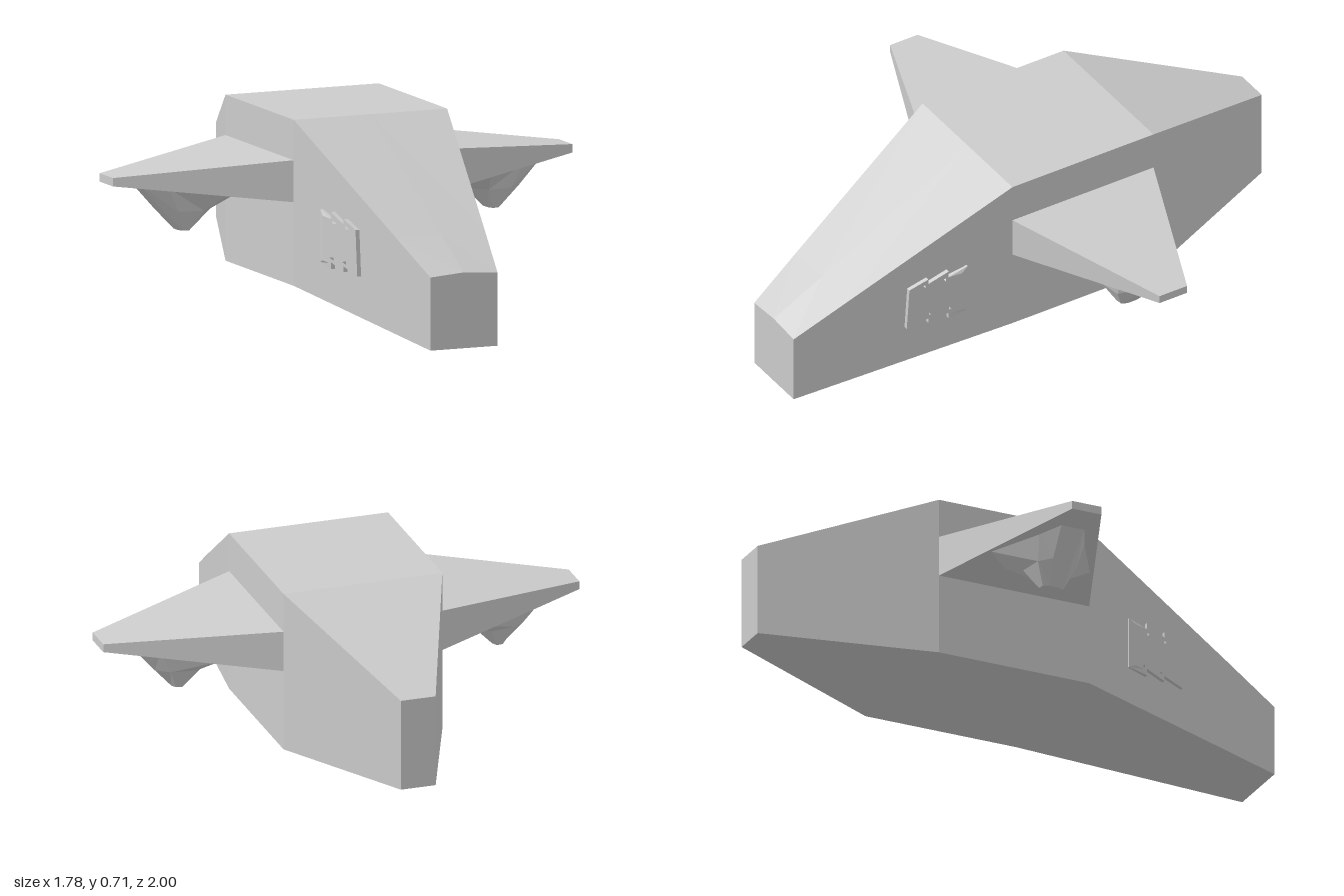
import * as THREE from 'three';

const grey = new THREE.MeshStandardMaterial({ color: 0xcccccc, flatShading: true });
const V = (x, y, z) => new THREE.Vector3(x, y, z);

// Turns triangle corners into a closed flat-shaded mesh with faces outward.
function solid(name, pts) {
  let volume = 0;
  const cross = new THREE.Vector3();
  for (let i = 0; i < pts.length; i += 3)
    volume += pts[i].dot(cross.crossVectors(pts[i + 1], pts[i + 2]));
  if (volume < 0)
    for (let i = 0; i < pts.length; i += 3) [pts[i + 1], pts[i + 2]] = [pts[i + 2], pts[i + 1]];
  const geo = new THREE.BufferGeometry().setFromPoints(pts);
  geo.computeVertexNormals();
  const mesh = new THREE.Mesh(geo, grey);
  mesh.name = name;
  return mesh;
}

// Joins equal-length rings of points and caps both ends.
function loft(name, rings) {
  const pts = [], n = rings[0].length;
  for (let r = 0; r + 1 < rings.length; r++)
    for (let i = 0; i < n; i++) {
      const j = (i + 1) % n, a = rings[r], b = rings[r + 1];
      pts.push(a[i], a[j], b[j], a[i], b[j], b[i]);
    }
  const first = rings[0], last = rings[rings.length - 1];
  for (let i = 1; i + 1 < n; i++)
    pts.push(first[0], first[i + 1], first[i], last[0], last[i], last[i + 1]);
  return solid(name, pts.map(p => p.clone()));
}

// Cross-section of the hull; crown lifts the centre of the roof.
const hullRing = (z, w, bottom, top, crown) => [
  V(-w, bottom, z), V(w, bottom, z), V(w, top, z), V(0, top + crown, z), V(-w, top, z)];

const wingRing = (x, bottom, top, front, back) => [
  V(x, bottom, front), V(x, top, front), V(x, top, back), V(x, bottom, back)];

const wingBottom = x => 0.42 + (x - 0.3) * 0.1;

// Eight-sided pod section, wider on the side nearer the hull.
function podRing(s, xIn, xOut, zIn, zOut, yOf) {
  const w = xOut - xIn, c = -0.105;
  return [[xIn, -zIn / 2], [xIn + w / 4, -zIn], [xOut - w / 4, -zOut], [xOut, -zOut / 2],
    [xOut, zOut / 2], [xOut - w / 4, zOut], [xIn + w / 4, zIn], [xIn, zIn / 2]]
    .map(([x, z]) => V(s * x, yOf(x), c + z));
}

// Stepped hatch rim, drawn in z and y, then laid onto the tapering hull side.
function hatch(s) {
  const outline = [[0.59, 0.21], [0.51, 0.235], [0.51, 0.215], [0.435, 0.24], [0.435, 0.215],
    [0.36, 0.23], [0.36, 0.42], [0.435, 0.395], [0.435, 0.42], [0.51, 0.385],
    [0.51, 0.405], [0.58, 0.375]].map(p => new THREE.Vector2(...p));
  const opening = [[0.572, 0.228], [0.5, 0.25], [0.5, 0.232], [0.425, 0.255], [0.425, 0.235],
    [0.385, 0.24], [0.385, 0.4], [0.445, 0.378], [0.445, 0.4], [0.52, 0.368],
    [0.52, 0.388], [0.568, 0.363]].map(p => new THREE.Vector2(...p));
  const shape = new THREE.Shape(outline);
  shape.holes.push(new THREE.Path(opening));
  const geo = new THREE.ExtrudeGeometry(shape, { depth: 1, bevelEnabled: false });
  const pos = geo.attributes.position, pts = [];
  for (let i = 0; i < pos.count; i++) {
    const z = pos.getX(i), side = 0.13 + (1 - z) * 0.21;
    const lift = pos.getZ(i) > 0.5 ? (z < 0.37 ? 0.006 : 0.014) : -0.01;
    pts.push(V(s * (side + lift), pos.getY(i), z));
  }
  return solid('hatchFrame', pts);
}

export function createModel() {
  const model = new THREE.Group();
  model.name = 'shuttle';

  // Hull from nose to tail
  model.add(loft('hull', [
    hullRing(1, 0.13, 0, 0.262, 0.01),
    hullRing(0.8, 0.172, 0.03, 0.375, 0.003),
    hullRing(0.19, 0.297, 0.12, 0.715, 0),
    hullRing(-0.4, 0.297, 0.12, 0.715, 0),
    hullRing(-1, 0.065, 0.17, 0.51, 0),
  ]));

  for (const s of [1, -1]) {
    const side = new THREE.Group();
    side.name = s > 0 ? 'leftSide' : 'rightSide';
    // Tapered wing
    side.add(loft('wing', [
      wingRing(s * 0.29, 0.419, 0.571, 0.193, -0.403),
      wingRing(s * 0.89, 0.48, 0.51, -0.05, -0.165),
    ]));
    // Flared pod under the wing
    side.add(loft('wingPod', [
      podRing(s, 0.42, 0.775, 0.2, 0.09, x => wingBottom(x) + 0.004),
      podRing(s, 0.505, 0.69, 0.088, 0.075, () => 0.375),
      podRing(s, 0.577, 0.622, 0.043, 0.04, () => 0.3),
    ]));
    side.add(hatch(s));
    model.add(side);
  }
  return model;
}
